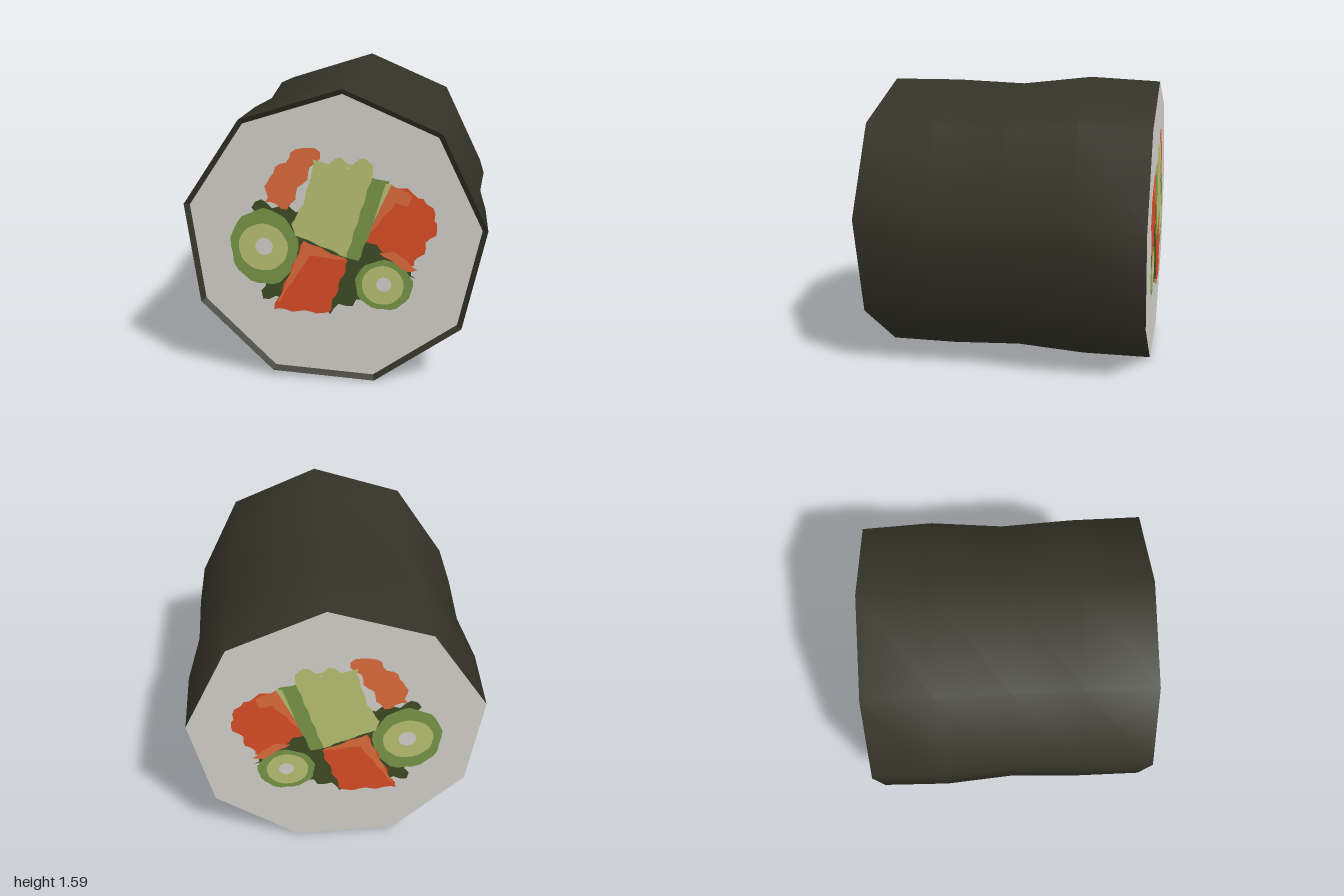
import * as THREE from 'three';

const mat = (name, color) => Object.assign(new THREE.MeshStandardMaterial({ color }), { name });
const seaweed = mat('seaweed', 0x343328);
const rice = mat('rice', 0xd0cfc9);
const leaf = mat('dark leaf green', 0x3f4b25);
const skin = mat('cucumber green', 0x779646);
const flesh = mat('pale green', 0xb8c071);
const salmon = mat('salmon', 0xd94d25);
const salmonLight = mat('light salmon', 0xde6b3c);

const YAW = 0.326, CY = 0.79, HALF = 0.777, RECESS = 0.018, INNER = 0.965;

// Nine-sided cross-section, counter-clockwise around the roll axis
const PROFILE = [
  [0.042, 0.785], [-0.486, 0.62], [-0.79, 0.17], [-0.723, -0.37], [-0.338, -0.755],
  [0.21, -0.785], [0.665, -0.46], [0.78, 0.08], [0.54, 0.57],
];

// Skin between rings of [z, scale, lift]
function loft(rings) {
  const n = PROFILE.length, pos = [], idx = [];
  for (const [z, s, lift] of rings) for (const [x, y] of PROFILE) pos.push(x * s, y * s + lift, z);
  for (let i = 0; i < rings.length - 1; i++) {
    for (let j = 0; j < n; j++) {
      const a = i * n + j, b = i * n + (j + 1) % n;
      idx.push(a, b, b + n, a, b + n, a + n);
    }
  }
  const g = new THREE.BufferGeometry();
  g.setAttribute('position', new THREE.Float32BufferAttribute(pos, 3));
  g.setIndex(idx);
  g.computeVertexNormals();
  return g;
}

// Flat face at depth z, turned to the front (side 1) or back (side -1)
function face(points, z, side) {
  const g = new THREE.ShapeGeometry(new THREE.Shape(points.map(([x, y]) => new THREE.Vector2(x * side, y))));
  if (side < 0) g.rotateY(Math.PI);
  return g.translate(0, 0, z);
}

// Wavy oval outline
function oval(cx, cy, rx, ry, wave = 0, n = 28) {
  return Array.from({ length: n }, (_, i) => {
    const a = (i / n) * Math.PI * 2;
    const r = 1 + wave * (Math.sin(a * 9) + 0.6 * Math.sin(a * 5 + 1));
    return [cx + rx * r * Math.cos(a), cy + ry * r * Math.sin(a)];
  });
}

// Polygon outline from x, y pairs, with edges rippled by the given amount
function ragged(ripple, ...xy) {
  const n = xy.length / 2, out = [];
  for (let i = 0; i < n; i++) {
    const k = (i + 1) % n, x = xy[2 * i], y = xy[2 * i + 1];
    const dx = xy[2 * k] - x, dy = xy[2 * k + 1] - y, len = Math.hypot(dx, dy);
    const steps = Math.max(1, Math.round(len / 0.03));
    for (let s = 0; s < steps; s++) {
      const t = s / steps, d = ripple * Math.sin(s * 1.6 + i * 0.9) / len;
      out.push([x + dx * t + dy * d, y + dy * t - dx * d]);
    }
  }
  return out;
}

// Cucumber slice: skin, flesh and core
function cucumber(fill, name, x, y, rx, ry) {
  fill(name + 'Skin', skin, 2, oval(x, y, rx, ry, 0.025));
  fill(name + 'Flesh', flesh, 3, oval(x - 0.005, y, rx * 0.73, rx * 0.76, 0.01));
  fill(name + 'Core', rice, 4, oval(x, y + 0.005, rx * 0.26, rx * 0.28));
}

// Fillings, each as a thin layer above the rice
function addFillings(fill) {
  fill('leafBed', leaf, 1, ragged(0.02, -0.15, 0.98, -0.12, 0.46, 0.21, 0.39, 0.38, 0.47, 0.65, 0.6, 0.4, 0.9));
  cucumber(fill, 'largeCucumber', -0.11, 0.735, 0.17, 0.208);
  cucumber(fill, 'smallCucumber', 0.485, 0.55, 0.142, 0.138);
  fill('upperSalmon', salmonLight, 2, ragged(0.012, -0.1, 0.98, -0.08, 1.12, 0.08, 1.28, 0.18, 1.25, 0.01, 0.95));
  fill('rightSalmon', salmon, 3, ragged(0.014, 0.5, 1.1, 0.68, 1.03, 0.75, 0.89, 0.63, 0.66, 0.39, 0.79));
  fill('rightSalmonTop', salmonLight, 4, ragged(0.004, 0.51, 1.1, 0.62, 1.04, 0.6, 0.98, 0.54, 1, 0.39, 0.8));
  fill('rightSalmonBottom', salmonLight, 4, ragged(0.004, 0.46, 0.73, 0.54, 0.74, 0.65, 0.64, 0.6, 0.63));
  fill('avocadoSkin', skin, 5, ragged(0.003, 0.42, 1.13, 0.51, 1.11, 0.36, 0.68, 0.26, 0.71));
  fill('avocadoEdge', flesh, 6, ragged(0, 0.52, 1.1, 0.43, 0.89, 0.49, 1.1));
  fill('avocadoSides', flesh, 6, ragged(0.003, 0.03, 0.87, 0.09, 0.98, 0.15, 1.2, 0.43, 1.15, 0.3, 0.7, 0.05, 0.81));
  fill('avocadoTop', flesh, 6, ragged(0.022, 0.43, 1.15, 0.39, 1.21, 0.16, 1.21, 0.15, 1.17));
  fill('lowerSalmon', salmon, 5, ragged(0.007, 0.09, 0.78, 0.31, 0.68, 0.21, 0.38, -0.07, 0.39));
  fill('lowerSalmonTop', salmonLight, 6, ragged(0.003, 0.09, 0.78, 0.31, 0.68, 0.12, 0.7, -0.05, 0.42));
}

export function createModel() {
  const model = new THREE.Group();
  model.name = 'rolledSushi';
  const roll = new THREE.Group();
  roll.name = 'roll';
  roll.rotation.y = YAW;
  roll.position.y = CY;
  model.add(roll);

  const add = (parent, name, geometry, material) => {
    const mesh = new THREE.Mesh(geometry, material);
    mesh.name = name;
    parent.add(mesh);
  };

  // Wrapper with a slight waist, and its inward-turned front rim
  add(roll, 'seaweedWrap', loft([[-HALF, 1, 0], [-0.39, 1.015, 0.01], [0, 0.975, 0], [0.39, 0.998, 0], [HALF, 1, 0]]), seaweed);
  const rim = loft([[HALF, 1, 0], [HALF - RECESS, INNER, 0]]).toNonIndexed();
  rim.computeVertexNormals();
  add(roll, 'seaweedRim', rim, seaweed);

  // Rice ends with fillings: recessed in front, flush at the back
  for (const [name, side, z, scale] of [['frontEnd', 1, HALF - RECESS, INNER], ['backEnd', -1, -HALF, 1]]) {
    const end = new THREE.Group();
    end.name = name;
    roll.add(end);
    add(end, 'riceFace', face(PROFILE.map(([x, y]) => [x * scale, y * scale]), z, side), rice);
    const k = scale / INNER;
    addFillings((part, material, layer, outline) => {
      const pts = outline.map(([x, y]) => [((x - 0.243) / 0.947) * k, (y - CY) * k]);
      add(end, part, face(pts, z + side * layer * 0.0015, side), material);
    });
  }
  return model;
}
